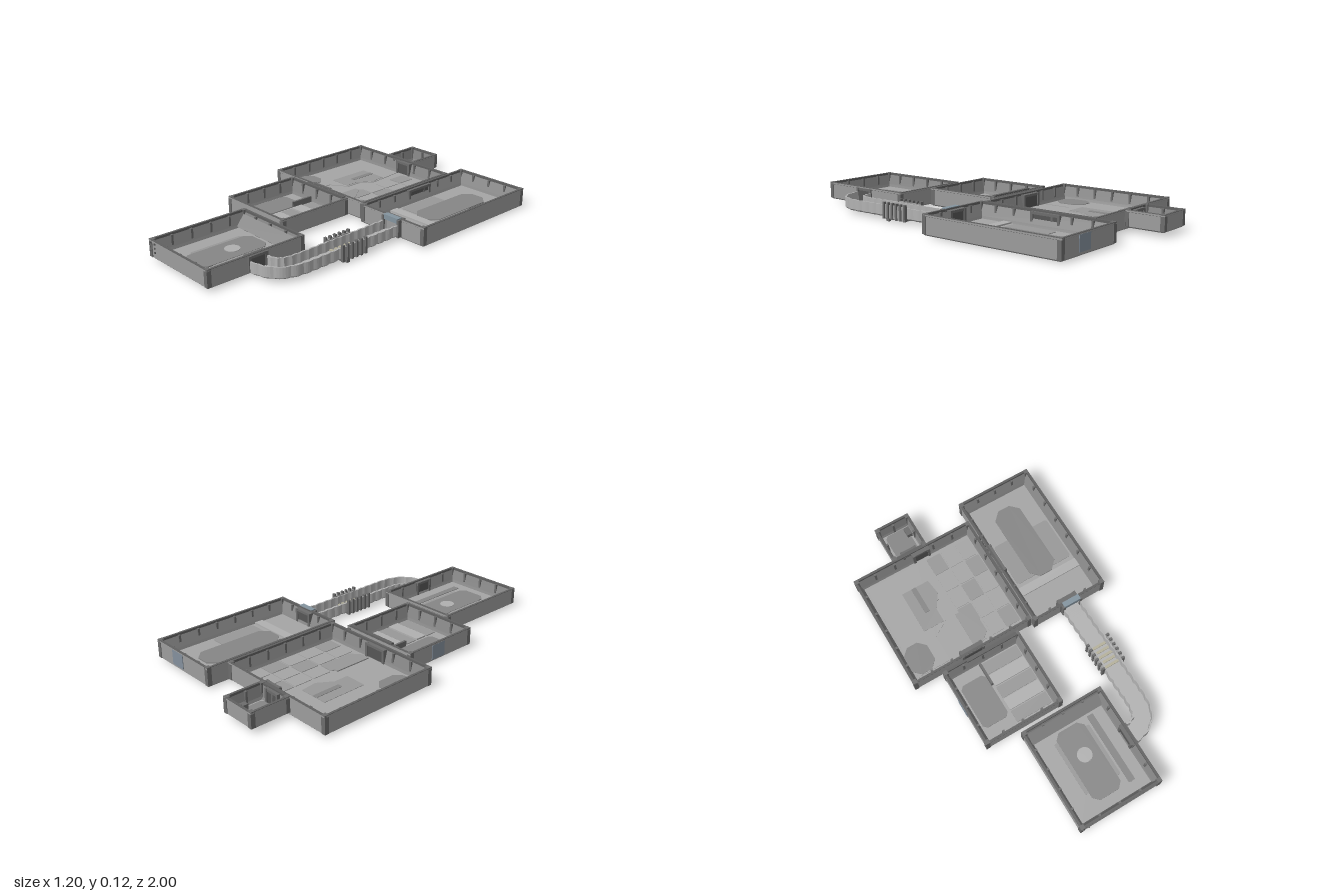
import * as THREE from 'three';

const TILT = -0.066;   // every room is turned slightly on plan
const FLOOR = 0.028;
const tone = color => new THREE.MeshStandardMaterial({ color, flatShading: true, side: THREE.DoubleSide });
const wall = tone(0x9c9c9c), rim = tone(0x606060), inner = tone(0x868686), floor = tone(0xa5a5a5);
const plateMid = tone(0x989898), plateDark = tone(0x868686), plateLight = tone(0xb0b0b0);
const trim = tone(0x6c6c6c), dark = tone(0x565656), pale = tone(0xb2b2b2);
const gateBlue = tone(0x84949f), windowBlue = tone(0x84909c), tan = tone(0xb4b09a);

function add(parent, name, geometry, material) {
  const mesh = new THREE.Mesh(geometry, material);
  mesh.name = name;
  parent.add(mesh);
  return mesh;
}

function box(parent, name, w, h, d, x, y, z, material) {
  const mesh = add(parent, name, new THREE.BoxGeometry(w, h, d), material);
  mesh.position.set(x, y, z);
  return mesh;
}

// Skin a list of equal-length point rings; optional flat cap on a 4-corner first ring
function loft(rings, capFirst = false) {
  const pos = [];
  const quad = (a, b, c, d) => [a, b, c, a, c, d].forEach(p => pos.push(...p));
  for (let r = 0; r < rings.length - 1; r++) {
    const A = rings[r], B = rings[r + 1], n = A.length;
    for (let i = 0; i < n; i++) quad(A[i], A[(i + 1) % n], B[(i + 1) % n], B[i]);
  }
  if (capFirst) quad(...[...rings[0]].reverse());
  const g = new THREE.BufferGeometry();
  g.setAttribute('position', new THREE.Float32BufferAttribute(pos, 3));
  g.computeVertexNormals();
  return g;
}

// Open-topped room: tray walls, dark rim, sloping inner walls, corner posts and ribs
function room(parent, name, w, d, cx, cz, y0, y1, skirt = 0.028) {
  const g = new THREE.Group();
  g.name = name;
  g.position.set(cx, 0, cz);
  g.rotation.y = TILT;
  parent.add(g);
  const ring = (inset, y) => {
    const a = w / 2 - inset, b = d / 2 - inset;
    return [[-a, y, b], [a, y, b], [a, y, -b], [-a, y, -b]];
  };
  add(g, 'outerWalls', loft([ring(0.01, y0), ring(0.003, y0 + 0.007), ring(0.003, y1 - 0.012), ring(0, y1 - 0.01), ring(0, y1 - 0.002)], true), wall);
  add(g, 'wallRim', loft([ring(0, y1 - 0.002), ring(0, y1), ring(0.013, y1), ring(0.013, y1 - 0.012)]), rim);
  add(g, 'innerWalls', loft([ring(0.013, y1 - 0.012), ring(skirt, FLOOR + 0.014), ring(skirt + 0.005, FLOOR)]), inner);
  box(g, 'floor', w - 2 * skirt, 0.004, d - 2 * skirt, 0, FLOOR - 0.002, 0, floor);
  for (const sx of [-1, 1]) for (const sz of [-1, 1])
    box(g, 'cornerPost', 0.024, y1 - y0 - 0.006, 0.024, sx * (w / 2 - 0.012), (y0 + y1) / 2 + 0.004, sz * (d / 2 - 0.012), trim);
  // ribs spaced along all four inner walls
  const ribs = (length, place) => {
    const n = Math.max(2, Math.round(length / 0.11));
    for (let i = 1; i < n; i++) place(-length / 2 + i * length / n);
  };
  const h = y1 - FLOOR - 0.008, y = FLOOR + h / 2;
  for (const s of [-1, 1]) {
    ribs(w, x => box(g, 'wallRib', 0.012, h, 0.012, x, y, s * (d / 2 - 0.02), trim));
    ribs(d, z => box(g, 'wallRib', 0.012, h, 0.012, s * (w / 2 - 0.02), y, z, trim));
  }
  return g;
}

// Thin floor plate from plan corners (x, z) in room coordinates
function plate(parent, name, points, material, height = 0.004) {
  const shape = new THREE.Shape(points.map(([x, z]) => new THREE.Vector2(x, -z)));
  const geo = new THREE.ExtrudeGeometry(shape, { depth: height, bevelEnabled: false });
  geo.rotateX(-Math.PI / 2);
  add(parent, name, geo, material).position.y = FLOOR;
}

function octagon(x, z, a, b, cut) {
  return [[-a + cut, -b], [a - cut, -b], [a, -b + cut], [a, b - cut], [a - cut, b], [-a + cut, b], [-a, b - cut], [-a, -b + cut]]
    .map(([u, v]) => [x + u, z + v]);
}

// Door leaf between two jambs; turned = set in a side wall
function door(parent, x, z, width, turned) {
  const g = new THREE.Group();
  g.name = 'doorway';
  g.position.set(x, FLOOR, z);
  if (turned) g.rotation.y = Math.PI / 2;
  parent.add(g);
  box(g, 'doorLeaf', width, 0.062, 0.03, 0, 0.031, 0, dark);
  for (const s of [-1, 1]) box(g, 'doorJamb', 0.014, 0.075, 0.042, s * width / 2, 0.0375, 0, trim);
  box(g, 'doorLintel', width, 0.013, 0.038, 0, 0.068, 0, trim);
}

// Scalloped open channel swept along a plan path
function corridor(parent) {
  const path = new THREE.CurvePath();
  const v = (x, z) => new THREE.Vector3(x, 0, z);
  path.add(new THREE.LineCurve3(v(0.335, -0.05), v(0.305, 0.55)));
  path.add(new THREE.CubicBezierCurve3(v(0.305, 0.55), v(0.298, 0.66), v(0.27, 0.712), v(0.15, 0.708)));
  const rings = [], N = 96;
  for (let i = 0; i <= N; i++) {
    const p = path.getPointAt(i / N), t = path.getTangentAt(i / N);
    const o = 0.05 + 0.006 * Math.abs(Math.sin(i / N * Math.PI * 16)), n = o - 0.009;
    const profile = [[-o, 0.08], [-o, 0.026], [-o + 0.008, 0.018], [o - 0.008, 0.018], [o, 0.026], [o, 0.08],
      [n, 0.08], [n, 0.03], [-n, 0.03], [-n, 0.08]];
    rings.push(profile.map(([s, y]) => [p.x + t.z * s, y, p.z - t.x * s]));
  }
  add(parent, 'corridorChannel', loft(rings), pale);

  // Collar of fins around the middle of the corridor
  const collar = new THREE.Group();
  collar.name = 'corridorCollar';
  collar.position.set(0.318, 0, 0.285);
  collar.rotation.y = TILT;
  parent.add(collar);
  box(collar, 'collarBase', 0.125, 0.008, 0.16, 0, 0.016, 0, trim);
  for (const s of [-1, 1]) box(collar, 'collarWall', 0.012, 0.07, 0.16, s * 0.057, 0.05, 0, wall);
  for (let i = 0; i < 6; i++) {
    const z = -0.075 + i * 0.03;
    for (const s of [-1, 1]) box(collar, 'collarFin', 0.016, 0.088, 0.012, s * 0.061, 0.054, z, trim);
    if (i < 5) box(collar, 'floorStripe', 0.1, 0.006, 0.014, 0, 0.033, z + 0.015, tan);
  }
  box(collar, 'collarFoot', 0.014, 0.014, 0.02, 0.061, 0.007, 0.045, trim);
}

export function createModel() {
  const model = new THREE.Group();
  model.name = 'roomComplex';

  // Main hall with cut floor plates and a tiled strip
  const hall = room(model, 'mainHall', 0.71, 0.675, -0.229, -0.443, 0.008, 0.11);
  plate(hall, 'hallLeftFloor', [[-0.31, -0.29], [0.0, -0.29], [0.02, -0.08], [-0.03, 0.0], [-0.03, 0.08], [-0.12, 0.14], [-0.12, 0.29], [-0.31, 0.29]], floor, 0.003);
  plate(hall, 'hallCentreFloor', [[-0.16, -0.17], [0.0, -0.17], [0.012, -0.08], [-0.04, 0.0], [-0.04, 0.08], [-0.16, 0.08]], plateMid, 0.005);
  plate(hall, 'hallHatch', octagon(-0.255, 0.20, 0.07, 0.085, 0.04), plateDark, 0.006);
  plate(hall, 'hallSlot', octagon(-0.09, -0.09, 0.014, 0.08, 0.004), plateDark, 0.007);
  for (let i = 0; i < 3; i++) for (let j = 0; j < 5; j++)
    plate(hall, 'floorTile', octagon(0.095 + i * 0.09, -0.23 + j * 0.115, 0.042, 0.054, 0.004), (i + j) % 3 ? floor : plateMid, 0.003);
  plate(hall, 'hallCutPlate', [[0.03, 0.08], [0.06, 0.08], [0.13, 0.18], [0.13, 0.25], [0.08, 0.29], [0.03, 0.29]], plateMid, 0.006);
  door(hall, 0.04, -0.32, 0.09, false);
  door(hall, 0.0, 0.32, 0.12, false);

  // Long side room
  const side = room(model, 'sideRoom', 0.44, 0.81, 0.353, -0.453, 0.004, 0.11, 0.035);
  plate(side, 'sideFloorPlate', octagon(0, 0.02, 0.17, 0.13, 0.01), plateMid, 0.003);
  plate(side, 'sideFloorHatch', octagon(0, -0.06, 0.08, 0.23, 0.045), plateDark, 0.006);
  box(side, 'sideFloorStep', 0.36, 0.01, 0.05, 0, FLOOR + 0.003, 0.20, plateLight);
  door(side, -0.21, -0.02, 0.16, true);
  door(side, 0, 0.385, 0.10, false);
  box(side, 'backWindow', 0.09, 0.08, 0.006, 0.04, 0.062, -0.4025, windowBlue);
  for (let i = 0; i < 5; i++) box(side, 'wallVent', 0.022, 0.05, 0.012, -0.225, 0.085, -0.17 + i * 0.03, dark);

  // Small annex at the back
  const annex = room(model, 'annex', 0.205, 0.22, -0.212, -0.885, 0.02, 0.11, 0.02);
  plate(annex, 'annexFloorPlate', octagon(0, 0, 0.065, 0.08, 0.015), plateDark);
  box(annex, 'annexConsole', 0.03, 0.03, 0.05, 0.06, FLOOR + 0.015, -0.04, trim);
  door(annex, 0, 0.10, 0.08, false);

  // Lower room with stepped floor
  const lower = room(model, 'lowerRoom', 0.455, 0.45, -0.236, 0.139, 0.014, 0.114);
  for (let i = 0; i < 5; i++)
    plate(lower, 'floorStep', octagon(0.085, -0.15 + i * 0.075, 0.105, 0.034, 0.003), i % 2 ? plateLight : plateMid, i % 2 ? 0.008 : 0.004);
  plate(lower, 'lowerFloorPlate', octagon(-0.11, 0, 0.075, 0.13, 0.02), plateDark);
  box(lower, 'partition', 0.012, 0.035, 0.13, -0.03, FLOOR + 0.017, -0.12, trim);
  box(lower, 'sideWindow', 0.006, 0.08, 0.09, -0.225, 0.066, -0.02, windowBlue);
  box(lower, 'backRim', 0.30, 0.01, 0.02, 0.06, 0.115, -0.212, rim);

  // Front room with a round floor inset
  const front = room(model, 'frontRoom', 0.475, 0.572, -0.078, 0.694, 0.012, 0.11);
  plate(front, 'frontFloorPlate', octagon(-0.01, -0.01, 0.105, 0.15, 0.005), plateMid, 0.003);
  plate(front, 'frontFloorHatch', octagon(-0.01, 0, 0.085, 0.20, 0.03), plateDark, 0.005);
  plate(front, 'frontFloorStrip', octagon(0.125, 0.0, 0.018, 0.2, 0.003), plateDark, 0.003);
  add(front, 'floorDisc', new THREE.CylinderGeometry(0.04, 0.04, 0.008, 24), plateLight).position.set(-0.01, FLOOR + 0.004, -0.035);
  const slope = box(front, 'backSlope', 0.42, 0.012, 0.075, 0, 0.06, -0.24, inner);
  slope.rotation.x = 0.9;
  door(front, 0.224, 0.0, 0.10, true);
  for (let i = 0; i < 3; i++) for (const x of [-0.225, -0.19]) {
    const bolt = add(front, 'wallBolt', new THREE.CylinderGeometry(0.005, 0.005, 0.008, 8), dark);
    bolt.rotation.x = Math.PI / 2;
    bolt.position.set(x, 0.05 + i * 0.022, 0.284);
  }

  // Corridor joining the front and side rooms, with its entry gate
  corridor(model);
  const gate = new THREE.Group();
  gate.name = 'corridorGate';
  gate.position.set(0.335, 0, -0.045);
  gate.rotation.y = TILT;
  model.add(gate);
  box(gate, 'gateHeader', 0.10, 0.027, 0.03, 0, 0.1, 0, gateBlue);
  for (const s of [-1, 1]) box(gate, 'gatePost', 0.014, 0.095, 0.035, s * 0.052, 0.06, 0, trim);

  return model;
}
